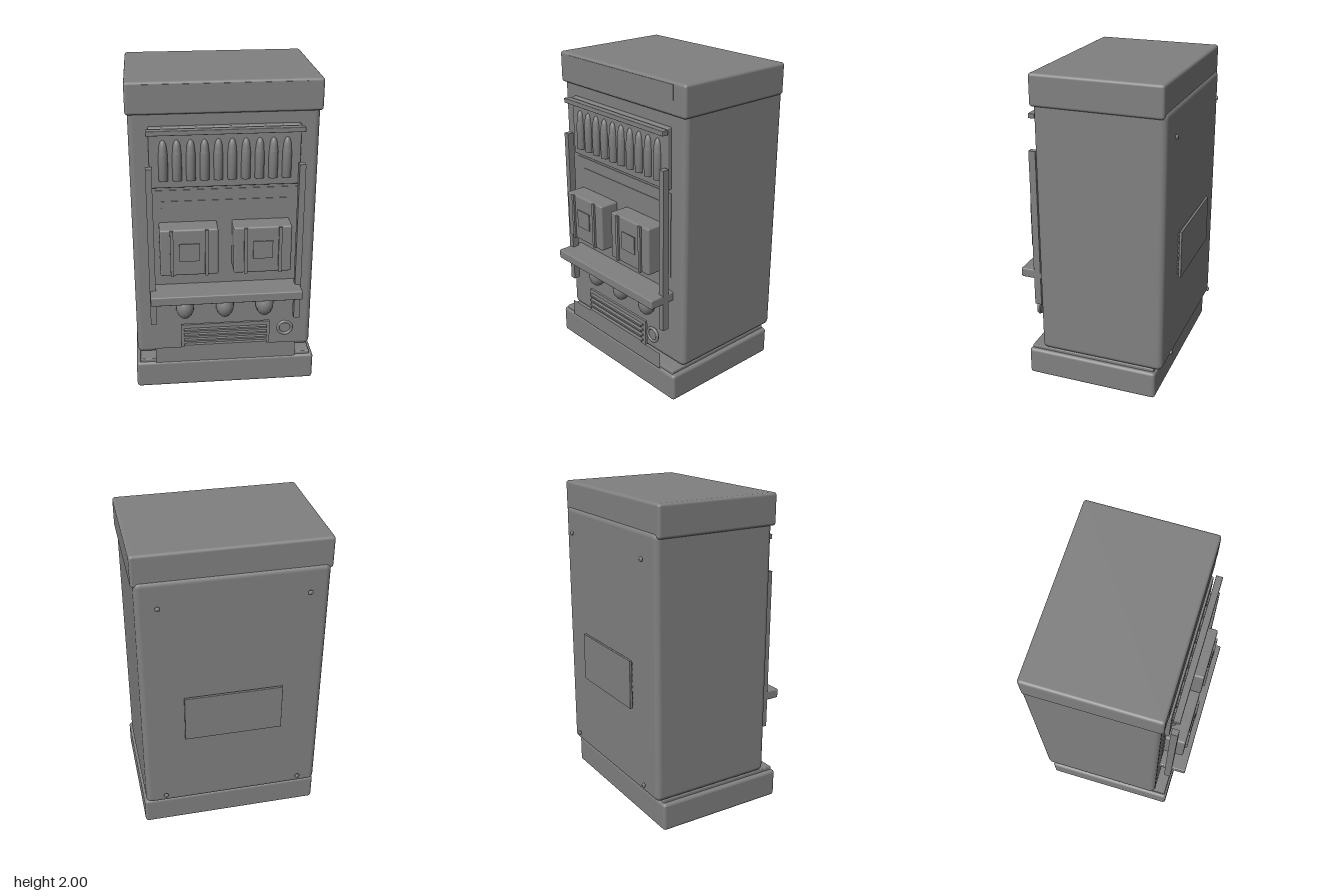
import * as THREE from 'three';
import { RoundedBoxGeometry } from 'three/addons/geometries/RoundedBoxGeometry.js';

export function createModel() {
  const root = new THREE.Group();
  root.name = 'vendingMachine';
  const grey = new THREE.MeshStandardMaterial({ color: 0x808080 });
  grey.name = 'grey';

  const add = (name, geometry, x = 0, y = 0, z = 0) => {
    const mesh = new THREE.Mesh(geometry, grey);
    mesh.name = name;
    mesh.position.set(x, y, z);
    root.add(mesh);
    return mesh;
  };
  // Box given by its limits, with an optional edge radius
  const box = (name, [x0, x1], [y0, y1], [z0, z1], r = 0) => {
    const w = x1 - x0, h = y1 - y0, d = z1 - z0;
    const g = r ? new RoundedBoxGeometry(w, h, d, 3, r) : new THREE.BoxGeometry(w, h, d);
    return add(name, g, (x0 + x1) / 2, (y0 + y1) / 2, (z0 + z1) / 2);
  };
  const lathe = (points, segments) =>
    new THREE.LatheGeometry(points.map(([x, y]) => new THREE.Vector2(x, y)), segments);

  // Cabinet
  box('base', [-0.575, 0.575], [0, 0.18], [-0.435, 0.42], 0.02);
  box('basePlate', [-0.55, 0.55], [0.17, 0.2], [-0.42, 0.405], 0.006);
  box('body', [-0.565, 0.565], [0.2, 1.84], [-0.475, 0.33], 0.035);
  box('header', [-0.578, 0.578], [1.805, 2], [-0.463, 0.347], 0.018);
  box('headerSign', [-0.48, 0.48], [1.82, 1.985], [0.344, 0.35]);
  add('kickPanel', new THREE.PlaneGeometry(0.9, 0.11), 0, 0.235, 0.421);

  // Upper display with a row of cartridges
  box('displayBoard', [-0.45, 0.45], [1.36, 1.735], [0.325, 0.36], 0.008);
  box('displayRail', [-0.465, 0.465], [1.7, 1.73], [0.37, 0.412], 0.004);
  const cartridge = lathe([[0, 0], [0.028, 0], [0.028, 0.165], [0.025, 0.17],
    [0.025, 0.185], [0.022, 0.215], [0.015, 0.238], [0.007, 0.247], [0, 0.25]], 20);
  for (let i = 0; i < 10; i++) add('cartridge', cartridge, -0.367 + i * 0.0815, 1.41, 0.36);

  // Middle panel and its sign
  box('middlePanel', [-0.45, 0.45], [0.79, 1.335], [0.325, 0.334]);
  box('sign', [-0.385, 0.385], [1.17, 1.265], [0.332, 0.338]);

  // Supply boxes with straps and labels
  for (const x of [-0.227, 0.22]) {
    box('supplyBox', [x - 0.177, x + 0.177], [0.825, 1.13], [0.33, 0.462], 0.012);
    for (const s of [-0.105, 0.105])
      box('strap', [x + s - 0.01, x + s + 0.01], [0.827, 1.128], [0.461, 0.475]);
    box('boxLabel', [x - 0.06, x + 0.06], [0.925, 1.04], [0.467, 0.473]);
  }

  // Side rails and shelf
  for (const s of [-1, 1])
    box('sideRail', [s * 0.455 - 0.019, s * 0.455 + 0.019], [0.46, 1.5], [0.37, 0.414]);
  box('shelf', [-0.47, 0.47], [0.64, 0.7], [0.325, 0.505], 0.008);

  // Hanging grenades
  const grenade = lathe([[0, -0.08], [0.025, -0.074], [0.045, -0.052], [0.056, -0.022],
    [0.058, 0.008], [0.05, 0.04], [0.036, 0.064], [0.024, 0.075], [0.024, 0.095], [0, 0.095]], 16);
  for (const x of [-0.255, 0, 0.255]) add('grenade', grenade, x, 0.545, 0.355);

  // Vent
  box('ventPlate', [-0.285, 0.285], [0.265, 0.435], [0.38, 0.396]);
  for (let i = 0; i < 4; i++) {
    const y = 0.292 + i * 0.037;
    box('ventSlat', [-0.265, 0.265], [y - 0.006, y + 0.006], [0.392, 0.418]);
  }

  // Round knob
  const knob = add('knob', new THREE.CylinderGeometry(0.045, 0.045, 0.015, 24), 0.38, 0.395, 0.411);
  knob.rotation.x = Math.PI / 2;
  add('knobRing', new THREE.TorusGeometry(0.044, 0.01, 8, 28), 0.38, 0.395, 0.418);

  // Back access panel with ribs and screws
  box('accessPanel', [-0.305, 0.305], [0.73, 1.04], [-0.506, -0.489], 0.003);
  for (let i = 0; i < 8; i++) {
    const y = 0.752 + i * 0.037;
    box('accessRib', [-0.285, 0.285], [y - 0.007, y + 0.007], [-0.49, -0.472]);
  }
  const screwShape = lathe([[0, -0.007], [0.014, -0.007], [0.016, 0], [0.01, 0.008], [0, 0.008]], 14);
  for (const x of [-0.44, 0.44]) for (const y of [0.275, 1.68])
    add('screw', screwShape, x, y, -0.498).rotation.x = -Math.PI / 2;

  return root;
}
